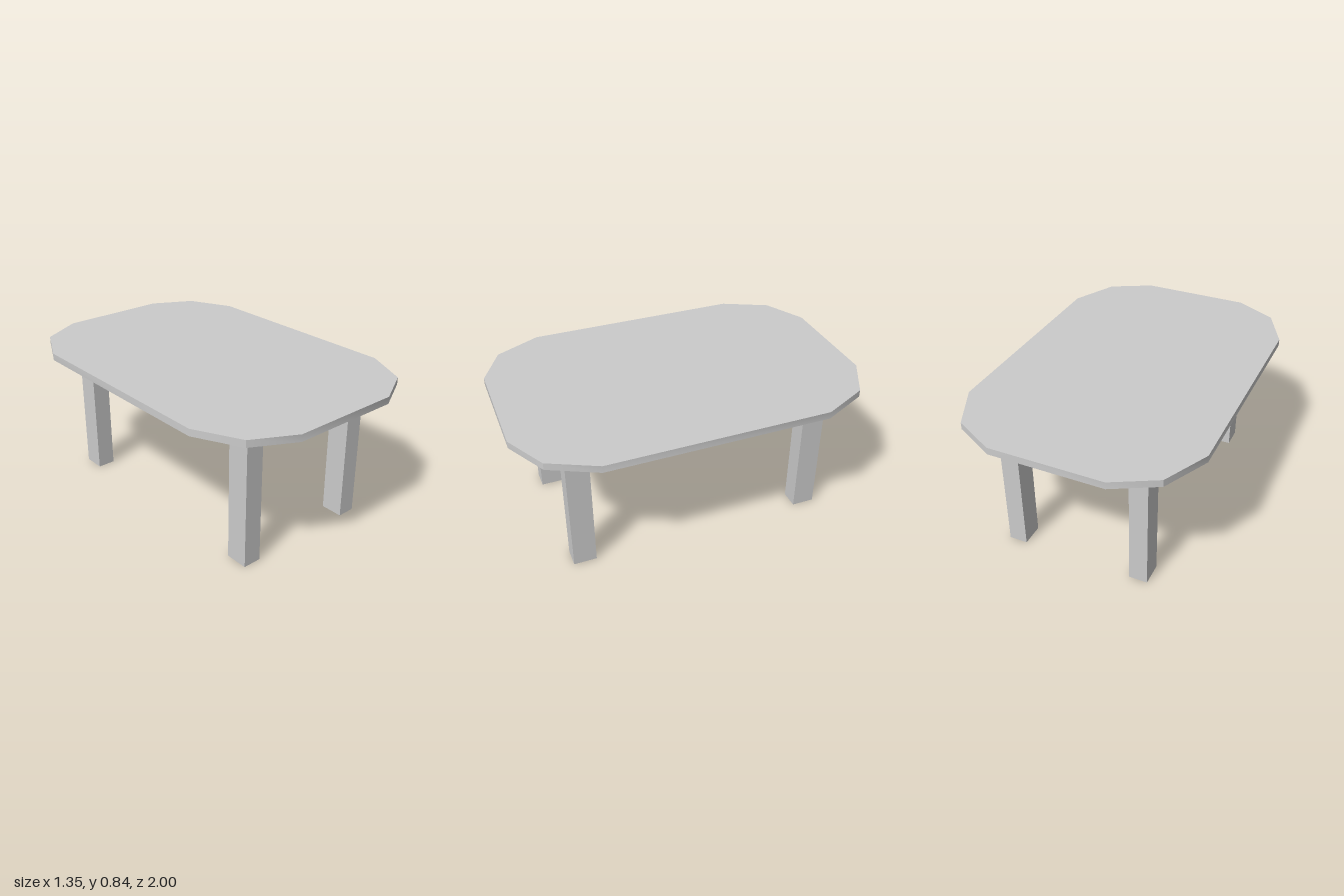
import * as THREE from 'three';
import { toCreasedNormals } from 'three/addons/utils/BufferGeometryUtils.js';

const LEG_X = 0.424, LEG_Z = 0.752;      // outer faces of the base
const LEG_W = 0.105, LEG_D = 0.13;       // leg section
const FRAME_Y = 0.73, TOP_Y = 0.8, TOP_H = 0.84;

const material = new THREE.MeshStandardMaterial({ color: 0xcccccc });

function part(name, geometry, parent) {
  const mesh = new THREE.Mesh(geometry, material);
  mesh.name = name;
  parent.add(mesh);
  return mesh;
}

// Extrude a plan outline upwards from y0 to y1
function slab(shape, y0, y1) {
  return new THREE.ExtrudeGeometry(shape, { depth: y1 - y0, bevelEnabled: false })
    .rotateX(-Math.PI / 2)
    .translate(0, y0, 0);
}

function rectangle(Type, x, z) {
  return new Type([[-x, -z], [x, -z], [x, z], [-x, z]].map(p => new THREE.Vector2(...p)));
}

export function createModel() {
  const table = new THREE.Group();
  table.name = 'table';

  // Table top with faceted corners, the quarter outline mirrored around
  const quarter = [[0.675, 0.62], [0.55, 0.876], [0.316, 1]];
  const outline = [];
  for (const [sx, sz] of [[1, 1], [-1, 1], [-1, -1], [1, -1]]) {
    const corner = quarter.map(([x, z]) => new THREE.Vector2(x * sx, z * sz));
    outline.push(...(sx * sz > 0 ? corner : corner.reverse()));
  }
  part('tableTop', toCreasedNormals(slab(new THREE.Shape(outline), TOP_Y, TOP_H), Math.PI / 6), table);

  // Apron frame, as thick as the legs
  const frame = rectangle(THREE.Shape, LEG_X, LEG_Z);
  frame.holes.push(rectangle(THREE.Path, LEG_X - LEG_W, LEG_Z - LEG_D));
  part('apronFrame', slab(frame, FRAME_Y, TOP_Y), table);

  // Four legs flush with the frame corners
  for (const sx of [-1, 1]) for (const sz of [-1, 1]) {
    const name = (sz > 0 ? 'front' : 'back') + (sx > 0 ? 'Left' : 'Right') + 'Leg';
    part(name, new THREE.BoxGeometry(LEG_W, FRAME_Y, LEG_D), table)
      .position.set(sx * (LEG_X - LEG_W / 2), FRAME_Y / 2, sz * (LEG_Z - LEG_D / 2));
  }
  return table;
}
